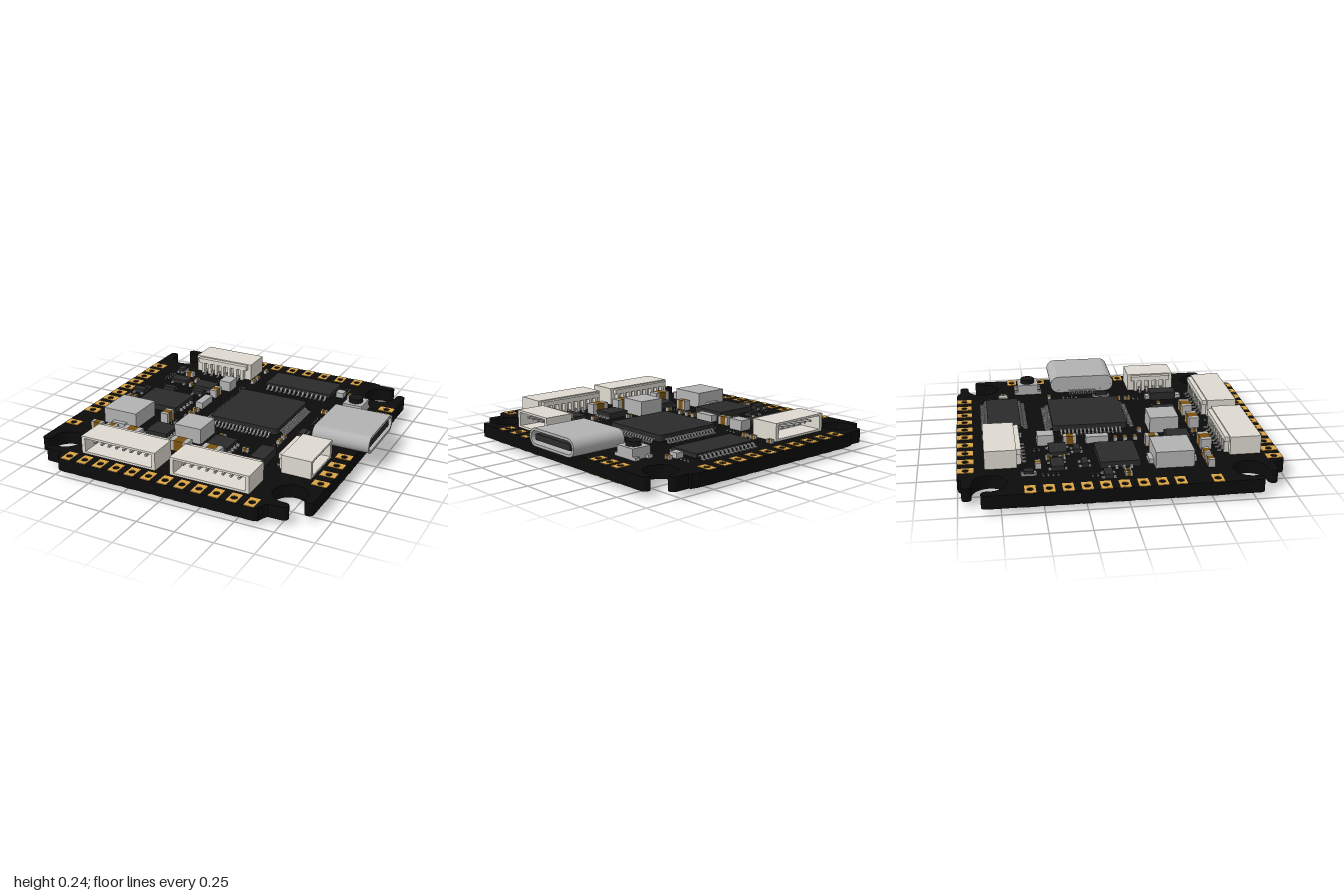
import * as THREE from 'three';
import { mergeGeometries } from 'three/addons/utils/BufferGeometryUtils.js';

const mat = (color) => new THREE.MeshStandardMaterial({ color });
const BOTTOM = 0.035, TOP = 0.12, PI = Math.PI;

export function createModel() {
  const root = new THREE.Group();
  const M = {
    board: mat(0x0c0c0c), gold: mat(0xdba445), chip: mat(0x2b2b2b), metal: mat(0xb2b2b2),
    cream: mat(0xdedad0), brown: mat(0x7a5210), black: mat(0x151515),
  };
  const add = (name, geo, m, parent = root) => {
    const mesh = new THREE.Mesh(geo, m);
    mesh.name = name;
    parent.add(mesh);
    return mesh;
  };
  // box centred on x, z and standing between two heights
  const boxGeo = (x, z, w, d, y0, y1) =>
    new THREE.BoxGeometry(w, y1 - y0, d).translate(x, (y0 + y1) / 2, z);
  const box = (name, m, x, z, w, d, y1, y0 = TOP, parent = root) =>
    add(name, boxGeo(x, z, w, d, y0, y1), m, parent);
  // flat plate lying in the ground plane (shape y is -z)
  const plate = (shape, y0, y1) =>
    new THREE.ExtrudeGeometry(shape, { depth: y1 - y0, bevelEnabled: false, curveSegments: 10 })
      .rotateX(-PI / 2).translate(0, y0, 0);
  const rounded = (w, h, r, S = THREE.Shape) => {
    const s = new S();
    [[1, 1, 0], [-1, 1, 1], [-1, -1, 2], [1, -1, 3]].forEach(([sx, sy, k]) =>
      s.absarc(sx * (w / 2 - r), sy * (h / 2 - r), r, k * PI / 2, (k + 1) * PI / 2, false));
    s.closePath();
    return s;
  };

  // Solder pad positions: x, z, width, depth
  const pads = [];
  for (let i = 0; i < 10; i++) pads.push([-0.637 + i * 0.1268, -0.948, 0.066, 0.1]);
  for (let i = 0; i < 12; i++) pads.push([-0.672 + i * 0.1143, 0.944, 0.066, 0.1]);
  for (let i = 0; i < 9; i++) pads.push([-0.935, -0.58 + i * 0.1105, 0.1, 0.066]);
  pads.push([-0.935, 0.526, 0.1, 0.066]);
  [-0.6, -0.5, -0.395, 0.188, 0.315, 0.442, 0.569].forEach((z) => pads.push([0.85, z, 0.1, 0.064]));
  const drill = (x, z) => new THREE.Path().absarc(x, -z, 0.02, 0, 2 * PI, true);

  // Board outline: each corner is a round cut-out with two rounded hook arms
  const arc = (u, v, r, a0, a1, n) => Array.from({ length: n + 1 }, (_, i) => {
    const a = a0 + (a1 - a0) * i / n;
    return [u + r * Math.cos(a), v + r * Math.sin(a)];
  });
  const corner = (cx, cz, sx, sz, edgeZ) => {
    const e = Math.abs(edgeZ - cz);
    const pts = [
      [-0.12, e], [-0.095, e - 0.006], [-0.073, 0.178], [-0.062, 0.164],
      ...arc(0.024, 0.1345, 0.0295, PI / 2, -PI / 2, 8),
      ...arc(0, 0, 0.105, PI / 2, 2 * PI, 30),
      ...arc(0.1345, 0.024, 0.0295, PI, 0, 8),
      [0.164, -0.06],
    ].map(([u, v]) => new THREE.Vector2(cx + sx * u, -(cz + sz * v)));
    return sx * sz > 0 ? pts : pts.reverse();
  };
  const outline = new THREE.Shape([
    ...corner(-0.823, -0.812, -1, -1, -1), ...corner(-0.823, 0.754, -1, 1, 0.995),
    ...corner(0.735, 0.754, 1, 1, 0.995), ...corner(0.735, -0.812, 1, -1, -1),
  ]);
  pads.forEach(([x, z]) => outline.holes.push(drill(x, z)));
  add('board', plate(outline, BOTTOM, TOP), M.board);

  // Gold pads on both faces
  pads.forEach(([x, z, w, d]) => {
    const s = new THREE.Shape([[-1, -1], [1, -1], [1, 1], [-1, 1]]
      .map(([a, b]) => new THREE.Vector2(x + a * w / 2, -z + b * d / 2)));
    s.holes.push(drill(x, z));
    add('solderPad', mergeGeometries([plate(s, TOP, TOP + 0.003), plate(s, BOTTOM - 0.003, BOTTOM)]), M.gold);
  });

  // Header pins underneath
  for (const z of [0.767, -0.747])
    for (let i = 0; i < 14; i++) box('headerPin', M.metal, -0.563 + i * 0.0774, z, 0.056, 0.053, BOTTOM, 0);

  // Row of bent leads; angle turns the outward direction away from +z
  const leads = (x, z, angle, n, span, reach, width, rise = 0.025) => {
    const p = new THREE.Shape([[-0.01, rise], [reach * 0.35, rise], [reach * 0.55, 0.008], [reach, 0.008],
      [reach, 0], [reach * 0.45, 0], [reach * 0.25, rise - 0.008], [-0.01, rise - 0.008]]
      .map(([a, b]) => new THREE.Vector2(a, b)));
    const row = [];
    for (let i = 0; i < n; i++)
      row.push(new THREE.ExtrudeGeometry(p, { depth: width, bevelEnabled: false })
        .rotateY(-PI / 2).translate(width / 2 - span / 2 + span * i / (n - 1), TOP, 0));
    add('leads', mergeGeometries(row).rotateY(angle).translate(x, 0, z), M.metal);
  };

  // Main processor
  add('processor', plate(rounded(0.487, 0.492, 0.025), 0.128, 0.17).translate(0.114, 0, -0.132), M.chip);
  for (let k = 0; k < 4; k++) {
    const a = k * PI / 2;
    leads(0.114 + 0.244 * Math.sin(a), -0.132 + 0.246 * Math.cos(a), a, 16, 0.387, 0.048, 0.013);
  }
  // Memory chip at the back
  box('memoryChip', M.chip, 0.196, -0.688, 0.49, 0.217, 0.155, 0.126);
  leads(0.196, -0.58, 0, 14, 0.435, 0.044, 0.015);
  leads(0.196, -0.796, PI, 14, 0.435, 0.044, 0.015);

  // Flat chips with side contacts
  [[-0.553, -0.021, 0.307, 0.249, 0.045], [-0.328, 0.405, 0.153, 0.148, 0.038], [0.108, 0.405, 0.153, 0.148, 0.038]]
    .forEach(([x, z, w, d, step]) => {
      box('flatChip', M.chip, x, z, w, d, 0.16);
      for (let i = 0; i < 4; i++) box('chipContact', M.metal, x, z + (i - 1.5) * step, w + 0.042, 0.018, 0.135);
    });
  // Small chips with front and back contacts
  [[-0.64, -0.397, 0.132, 0.08], [-0.426, -0.376, 0.148, 0.111], [-0.635, -0.23, 0.09, 0.042], [-0.426, -0.257, 0.085, 0.042],
    [-0.81, -0.108, 0.09, 0.053], [-0.73, -0.574, 0.045, 0.06], [0.5, 0.02, 0.04, 0.085]]
    .forEach(([x, z, w, d]) => {
      box('smallChip', M.chip, x, z, w, d, 0.15);
      for (const s of [-1, 1]) box('chipContact', M.metal, x + s * w * 0.35, z, 0.018, d + 0.035, 0.13);
    });
  // Diode
  box('diode', M.chip, 0.415, 0.442, 0.095, 0.18, 0.175);
  box('diodeContacts', M.metal, 0.415, 0.447, 0.05, 0.25, 0.145);

  // Inductors, crystal and metal cans
  box('inductor', M.metal, -0.632, 0.307, 0.243, 0.238, 0.225);
  box('inductorContacts', M.metal, -0.632, 0.307, 0.1, 0.296, 0.15);
  box('inductor', M.metal, -0.119, 0.341, 0.188, 0.19, 0.225);
  box('crystal', M.metal, -0.299, -0.113, 0.053, 0.145, 0.165);
  box('metalCan', M.metal, -0.283, -0.442, 0.085, 0.106, 0.19);
  box('metalCan', M.metal, 0.489, -0.675, 0.053, 0.063, 0.155);

  // Capacitors and resistors: coloured body with a metal cap on each end
  const passive = (x, z, w, d, y1, m = M.brown, name = 'capacitor') => {
    const g = new THREE.Group();
    g.name = name;
    root.add(g);
    const alongX = w >= d, cap = Math.max(w, d) * 0.24;
    box('body', m, x, z, alongX ? w - 2 * cap : w, alongX ? d : d - 2 * cap, y1, TOP, g);
    for (const s of [-1, 1])
      box('endCap', M.metal, x + (alongX ? s * (w - cap) / 2 : 0), z + (alongX ? 0 : s * (d - cap) / 2),
        alongX ? cap : w, alongX ? d : cap, y1, TOP, g);
  };
  [-0.458, -0.103, 0.119].forEach((x) => passive(x, 0.551, 0.127, 0.069, 0.19));
  [-0.741, -0.63].forEach((x) => passive(x, 0.526, 0.08, 0.042, 0.17));
  passive(-0.302, -0.288, 0.048, 0.085, 0.175);
  passive(-0.394, 0.225, 0.053, 0.085, 0.19);
  passive(-0.632, -0.513, 0.063, 0.037, 0.155);
  [[-0.537, -0.44], [-0.537, -0.357], [-0.161, -0.82], [-0.161, -0.675], [-0.161, -0.606], [0.553, -0.675], [0.41, 0.124],
    [0.41, 0.193], [-0.23, 0.537], [-0.823, 0.013], [-0.78, 0.013]].forEach(([x, z]) => passive(x, z, 0.025, 0.042, 0.145));
  [[0.495, -0.352], [-0.294, 0.008], [-0.294, 0.07], [-0.294, 0.135], [-0.294, 0.267], [-0.177, 0.183], [0.056, 0.286],
    [0.272, 0.394]].forEach(([x, z]) => passive(x, z, 0.042, 0.025, 0.145));
  // Columns of tiny resistors: x, z, count
  [[-0.05, 0.65, 4], [-0.76, -0.49, 4], [-0.28, 0.52, 3], [-0.35, 0.2, 3], [0.5, -0.8, 3], [0.26, 0.35, 2], [0.5, -0.25, 4],
    [-0.19, -0.49, 3], [-0.39, -0.52, 2], [0.41, 0.24, 2], [-0.8, -0.2, 2]].forEach(([x, z, n]) => {
    for (let i = 0; i < n; i++) passive(x, z + i * 0.03, 0.028, 0.012, 0.128, M.black, 'resistor');
  });

  // Plug sockets, open outward, with a stepped back, pins and leads
  const socket = (x, z, w, angle, n) => {
    const g = new THREE.Group();
    g.name = 'plugSocket';
    g.position.set(x, 0, z);
    g.rotation.y = angle;
    root.add(g);
    const D = 0.225, span = (n - 1) * 0.053, y0 = 0.123, y1 = 0.24;
    const b = (name, m, ...a) => box(name, m, ...a, g);
    b('roof', M.cream, 0, 0.015, w, D - 0.03, y1, y1 - 0.014);
    b('floor', M.cream, 0, 0.015, w, D - 0.03, y0 + 0.014, y0);
    for (const s of [-1, 1]) b('side', M.cream, s * (w / 2 - 0.0125), 0.015, 0.025, D - 0.03, y1 - 0.014, y0 + 0.014);
    b('backWall', M.cream, 0, -0.0625, w - 0.05, 0.04, y1 - 0.014, y0 + 0.014);
    b('backStep', M.cream, 0, -D / 2 + 0.015, w - 0.05, 0.03, y1 - 0.008, 0.2);
    for (let i = 0; i <= n; i++)
      b('backRib', M.cream, (i - n / 2) * 0.053, -D / 2 + 0.015, 0.022, 0.03, 0.2, y0);
    for (let i = 0; i < n; i++) b('pin', M.metal, -span / 2 + i * 0.053, 0.02, 0.014, 0.14, 0.203, 0.19);
    leads(x - Math.sin(angle) * 0.1, z - Math.cos(angle) * 0.1, angle + PI, n, span, 0.045, 0.014, 0.03);
  };
  socket(-0.362, 0.76, 0.527, 0, 8);
  socket(0.267, 0.76, 0.527, 0, 8);
  socket(-0.418, -0.722, 0.44, PI, 6);
  socket(0.667, 0.387, 0.325, PI / 2, 4);

  // Side port: rounded metal shell with a dark tongue
  const along = (shape, depth, x) =>
    new THREE.ExtrudeGeometry(shape, { depth, bevelEnabled: false, curveSegments: 12 })
      .rotateY(PI / 2).translate(x, 0.182, -0.105);
  const shell = rounded(0.45, 0.116, 0.057);
  shell.holes.push(rounded(0.416, 0.082, 0.04, THREE.Path));
  add('portShell', along(shell, 0.38, 0.6), M.metal);
  add('portBack', along(rounded(0.42, 0.086, 0.042), 0.24, 0.601), M.metal);
  box('portTongue', M.chip, 0.9, -0.105, 0.14, 0.35, 0.202, 0.162);
  leads(0.605, -0.105, -PI / 2, 12, 0.18, 0.045, 0.009, 0.02);

  // Push button
  box('buttonBody', M.metal, 0.665, -0.494, 0.134, 0.145, 0.19);
  for (const s of [-1, 1])
    for (const t of [-1, 1]) box('buttonFoot', M.metal, 0.665 + s * 0.05, -0.494 + t * 0.08, 0.034, 0.03, 0.14);
  add('buttonCap', new THREE.CylinderGeometry(0.048, 0.048, 0.035, 24).translate(0.665, 0.2025, -0.494), M.black);

  return root;
}
